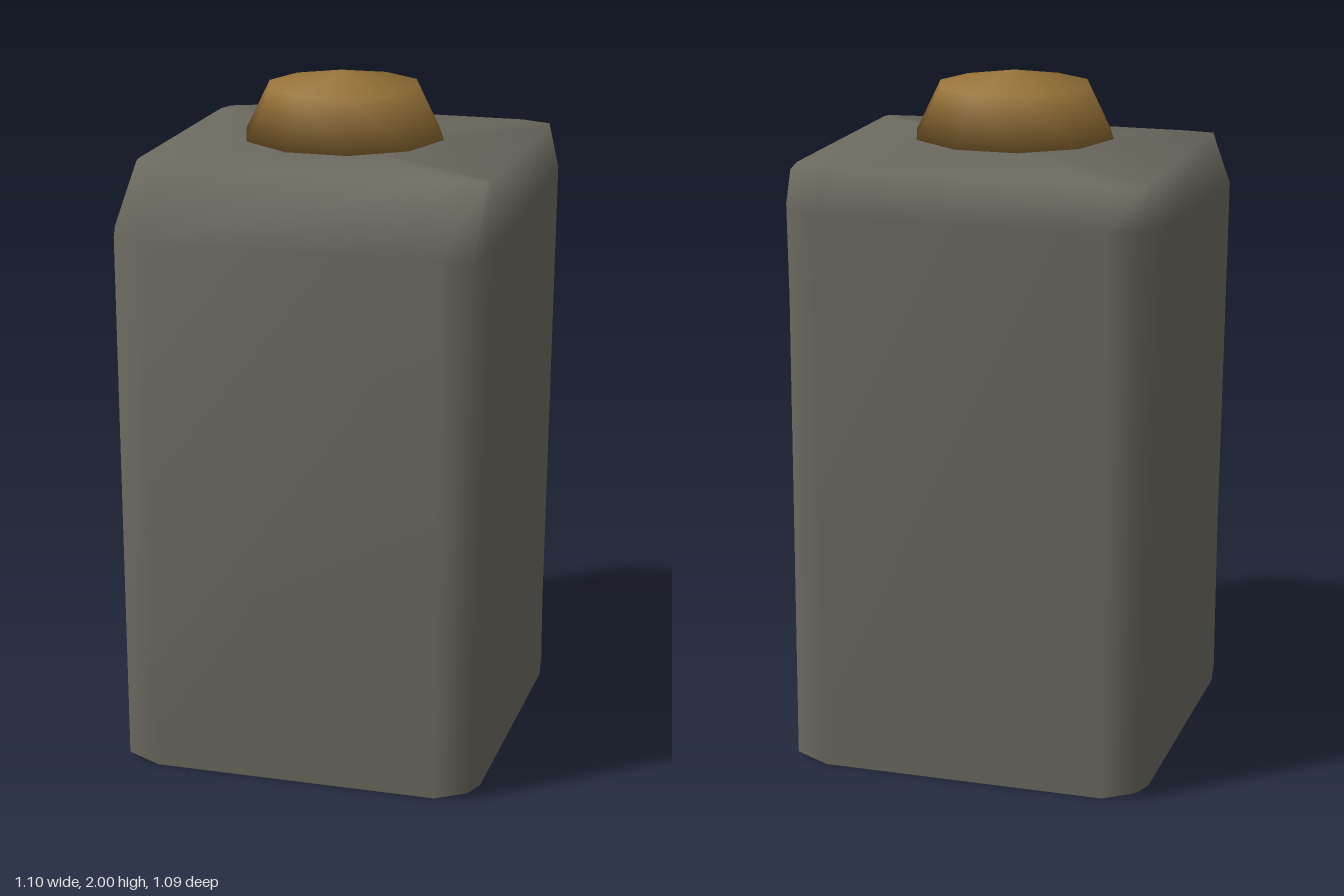
import * as THREE from 'three';

// One ring of 12 points. Each corner is given by three points (side, middle, end)
// for the front and the back, and is mirrored in x.
function ring(front, back) {
  const flip = (pts) => pts.map(([x, y, z]) => [-x, y, z]).reverse();
  return [...front, ...flip(front), ...flip(back.slice().reverse()), ...back.slice().reverse()];
}

function makeBody() {
  const foot = (s) => [[0.53, 0.005, 0.42 * s], [0.515, 0.02, 0.515 * s], [0.42, 0, 0.535 * s]];
  const rings = [
    ring(foot(1), foot(-1)),
    // shoulder
    ring(
      [[0.545, 1.61, 0.45], [0.515, 1.6, 0.54], [0.42, 1.6, 0.545]],
      [[0.55, 1.66, -0.42], [0.51, 1.66, -0.51], [0.42, 1.66, -0.545]]
    ),
    // top edge, set back at the front by the wide chamfer
    ring(
      [[0.515, 1.78, 0.33], [0.51, 1.778, 0.36], [0.42, 1.78, 0.36]],
      [[0.515, 1.78, -0.42], [0.505, 1.775, -0.495], [0.42, 1.78, -0.505]]
    ),
  ];
  // back corners must run end -> middle -> side to close the loop
  for (const r of rings) {
    r.sort((a, b) => Math.atan2(a[2], a[0]) - Math.atan2(b[2], b[0]));
  }
  const n = 12;
  const index = [];
  for (let k = 0; k < rings.length - 1; k++) {
    for (let i = 0; i < n; i++) {
      const j = (i + 1) % n;
      const a = k * n + i, b = k * n + j;
      index.push(a, a + n, b, a + n, b + n, b);
    }
  }
  // closed top, open underside
  const top = (rings.length - 1) * n, centre = rings.length * n;
  for (let i = 0; i < n; i++) index.push(centre, top + ((i + 1) % n), top + i);

  const geometry = new THREE.BufferGeometry();
  const points = [...rings.flat(), [0, 1.78, 0]];
  geometry.setAttribute('position', new THREE.Float32BufferAttribute(points.flat(), 3));
  geometry.setIndex(index);
  geometry.computeVertexNormals();
  return geometry;
}

export function createModel() {
  const group = new THREE.Group();
  group.name = 'canister';

  const grey = new THREE.MeshStandardMaterial({ color: 0x6b685f, side: THREE.DoubleSide });
  grey.name = 'warm grey';
  const ochre = new THREE.MeshStandardMaterial({ color: 0x967238 });
  ochre.name = 'ochre';

  const body = new THREE.Mesh(makeBody(), grey);
  body.name = 'body';

  // ten-sided cap hovering just above the body
  const profile = [[0, 1.8], [0.298, 1.813], [0.225, 1.96], [0, 2]].map(([r, y]) => new THREE.Vector2(r, y));
  const cap = new THREE.Mesh(new THREE.LatheGeometry(profile, 10, Math.PI / 2), ochre);
  cap.name = 'cap';

  group.add(body, cap);
  return group;
}
